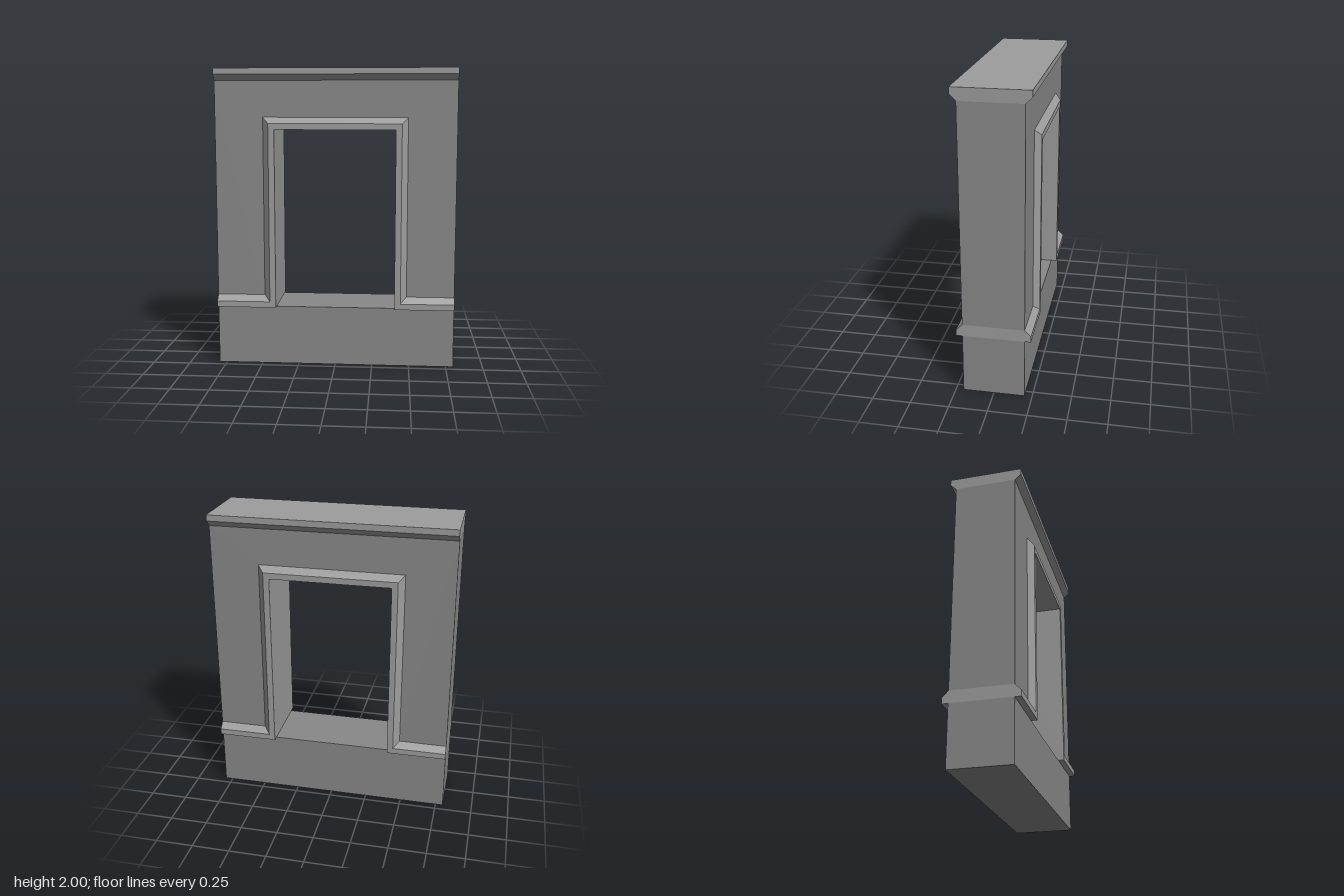
import * as THREE from 'three';

const W = 0.8;      // half width of the wall
const D = 0.2;      // half depth of the wall
const OPEN = 0.4;   // half width of the opening
const SILL = 0.4, HEAD = 1.6;
const CORNICE = 1.92, TOP = 2;
const STEP = 0.04;  // moulding step
const E = D + STEP; // half depth of the mouldings

const wallMaterial = new THREE.MeshStandardMaterial({ color: 0x898989, flatShading: true });
const trimMaterial = new THREE.MeshStandardMaterial({ color: 0x9d9d9d, flatShading: true });

// Prism of an outline, centred along z
function prism(pts, depth) {
  const shape = new THREE.Shape(pts.map(([x, y]) => new THREE.Vector2(x, y)));
  return new THREE.ExtrudeGeometry(shape, { depth, bevelEnabled: false }).translate(0, 0, -depth / 2);
}

// Mitred surround through the whole wall, swept along sill bands, jambs and head
function surroundGeometry() {
  // [outward offset, z] of the closed cross-section
  const section = [[0, -E], [0, E], [STEP, E], [2 * STEP, D], [2 * STEP, -D], [STEP, -E]];
  // Path corners: [x, y, sideways growth with offset]
  const path = [
    [-W, SILL, 0], [-OPEN, SILL, -1], [-OPEN, HEAD, -1],
    [OPEN, HEAD, 1], [OPEN, SILL, 1], [W, SILL, 0],
  ];
  const rings = path.map(([x, y, s]) => section.map(([d, z]) => [x + s * d, y + d, z]));
  const pos = [];
  const quad = (a, b, c, d) => pos.push(...a, ...b, ...c, ...a, ...c, ...d);
  for (let i = 0; i < rings.length - 1; i++) {
    const p = rings[i], q = rings[i + 1];
    for (let k = 0; k < section.length; k++) {
      const n = (k + 1) % section.length;
      quad(p[k], q[k], q[n], p[n]);
    }
  }
  // End caps
  const first = rings[0], last = rings[rings.length - 1];
  for (const [a, b, c, d] of [[0, 1, 2, 5], [5, 2, 3, 4]]) {
    quad(first[a], first[b], first[c], first[d]);
    quad(last[d], last[c], last[b], last[a]);
  }
  const geo = new THREE.BufferGeometry();
  geo.setAttribute('position', new THREE.Float32BufferAttribute(pos, 3));
  geo.computeVertexNormals();
  return geo;
}

export function createModel() {
  const group = new THREE.Group();
  const add = (name, geo, material) => {
    const mesh = new THREE.Mesh(geo, material);
    mesh.name = name;
    group.add(mesh);
  };

  // Wall below the opening
  add('base', new THREE.BoxGeometry(2 * W, SILL, 2 * D).translate(0, SILL / 2, 0), wallMaterial);

  // Wall around the surround
  const x = OPEN + 2 * STEP, low = SILL + 2 * STEP, high = HEAD + 2 * STEP;
  add('wall', prism([
    [-W, low], [-x, low], [-x, high], [x, high], [x, low], [W, low], [W, CORNICE], [-W, CORNICE],
  ], 2 * D), wallMaterial);

  // Lighter surround lining the opening
  add('surround', surroundGeometry(), trimMaterial);

  // Cornice flaring out to a flat top, run along the wall
  add('cornice', prism([
    [-D, CORNICE], [D, CORNICE], [E, CORNICE + STEP], [E, TOP], [-E, TOP], [-E, CORNICE + STEP],
  ], 2 * W).rotateY(Math.PI / 2), trimMaterial);

  return group;
}
